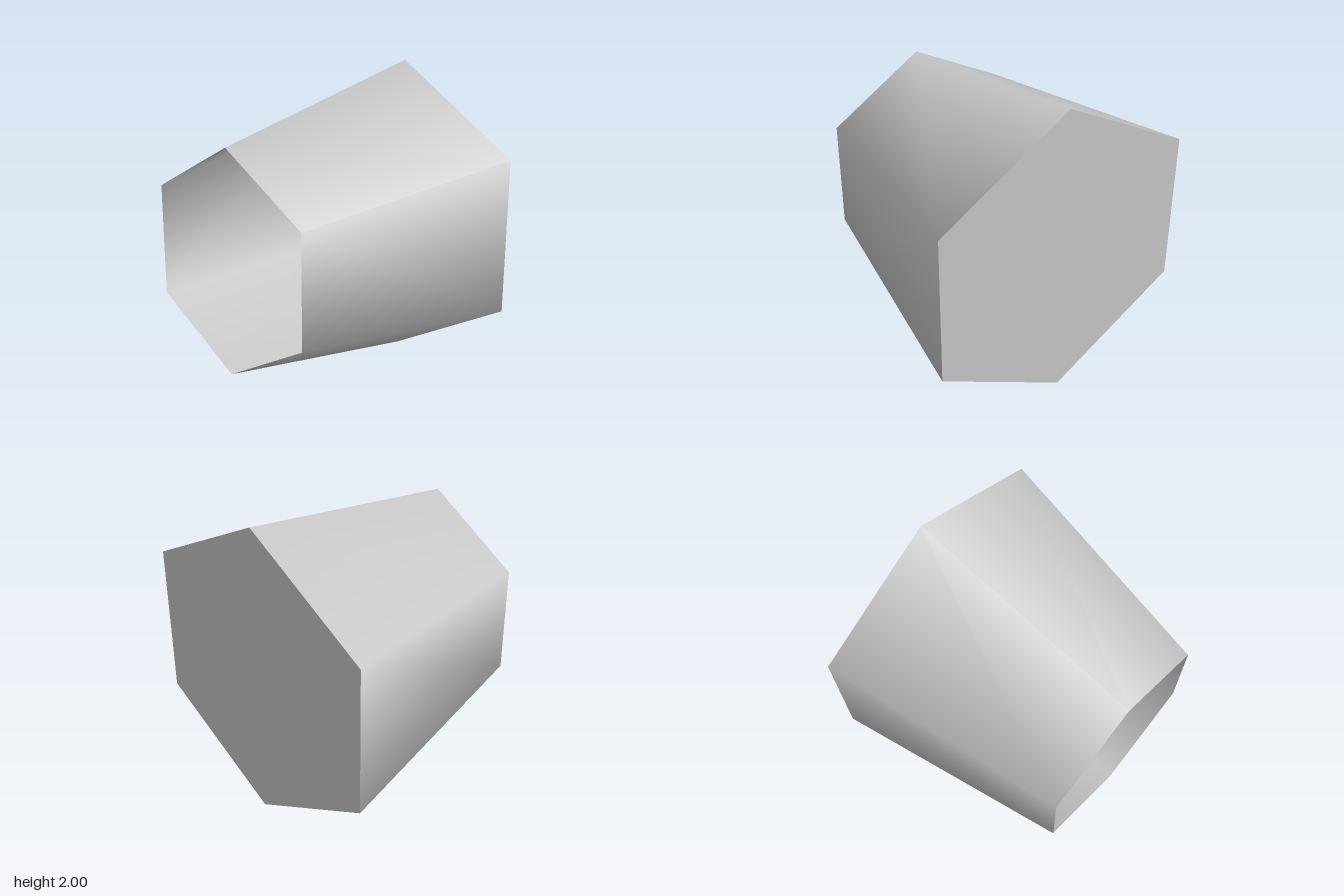
import * as THREE from 'three';

export function createModel() {
  const model = new THREE.Group();
  model.name = 'hexagonalCup';

  const paleGrey = new THREE.MeshStandardMaterial({ color: 0xcccccc, side: THREE.DoubleSide });
  paleGrey.name = 'paleGrey';

  const sides = 6, mouthRadius = 0.709, baseRadius = 1, depth = 1.53;

  // Thin tapered wall, open towards the front, smooth around its six sides
  const wallShape = new THREE.CylinderGeometry(mouthRadius, baseRadius, depth, sides, 1, true);
  wallShape.rotateX(Math.PI / 2);
  const wall = new THREE.Mesh(wallShape, paleGrey);
  wall.name = 'taperedWall';
  wall.position.y = baseRadius;

  // Flat plate closing the wide back end, with a corner pointing up
  const plateShape = new THREE.CircleGeometry(baseRadius, sides, Math.PI / 2);
  plateShape.rotateY(Math.PI);
  const plate = new THREE.Mesh(plateShape, paleGrey);
  plate.name = 'backPlate';
  plate.position.set(0, baseRadius, -depth / 2);

  model.add(wall, plate);
  return model;
}
